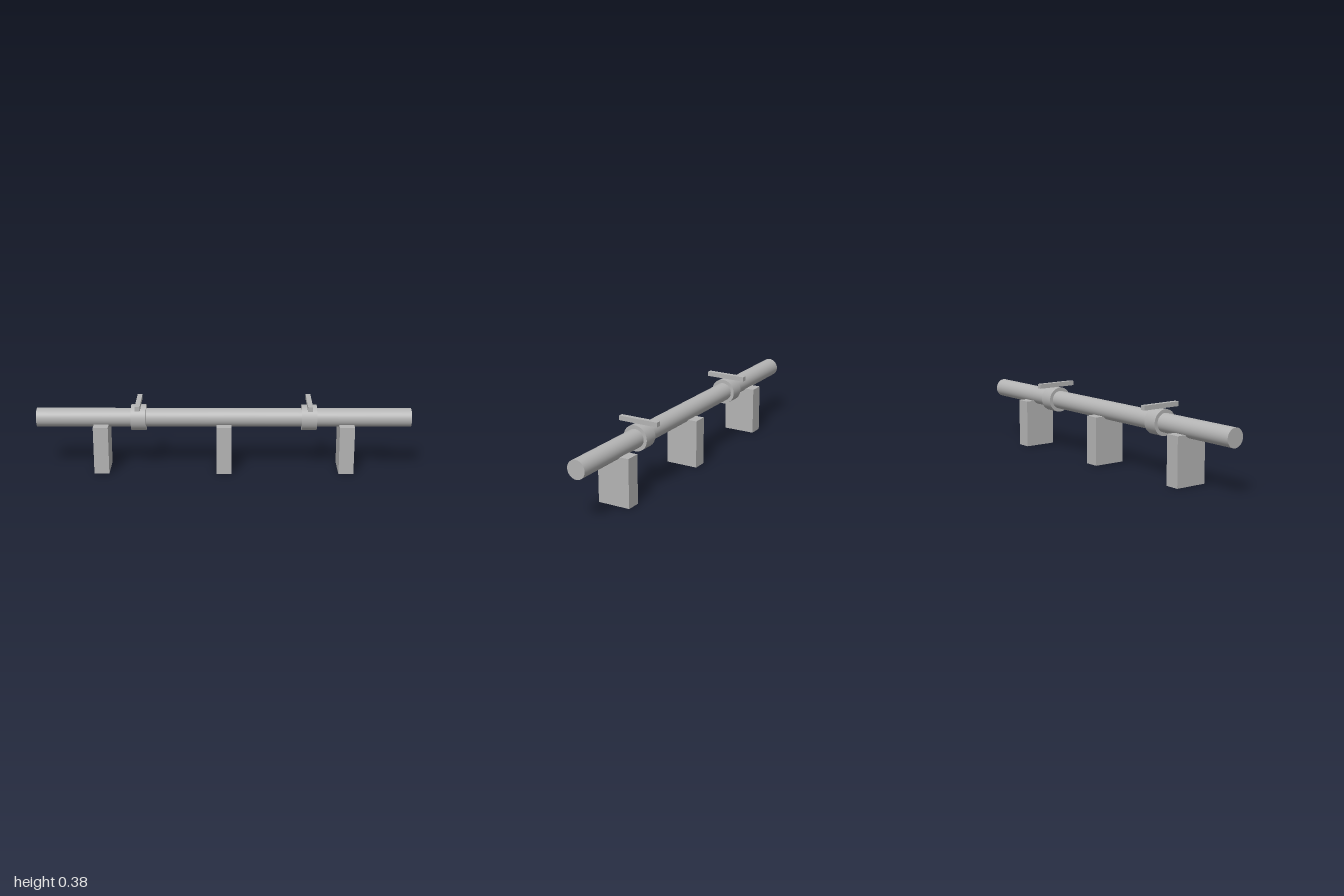
import * as THREE from 'three';

export function createModel() {
  const model = new THREE.Group();
  const grey = new THREE.MeshStandardMaterial({ color: 0xb4b4b4 });
  grey.name = 'steel grey';
  const axisY = 0.291;

  function add(name, geometry, x, y) {
    const mesh = new THREE.Mesh(geometry, grey);
    mesh.name = name;
    mesh.position.set(x, y, 0);
    model.add(mesh);
  }
  const rod = (radius, length) =>
    new THREE.CylinderGeometry(radius, radius, length, 64).rotateZ(Math.PI / 2);

  // Long horizontal pipe
  add('pipe', rod(0.05, 2), 0, axisY);

  // Blocks carrying the pipe
  for (const x of [-0.655, 0, 0.655]) {
    add('support', new THREE.BoxGeometry(0.08, 0.262, 0.18), x, 0.131);
  }

  // Valve collars, each with a cross handle on top
  for (const x of [-0.455, 0.455]) {
    add('collar', rod(0.069, 0.08), x, axisY);
    add('handle', new THREE.BoxGeometry(0.026, 0.025, 0.226), x, 0.3725);
  }
  return model;
}
